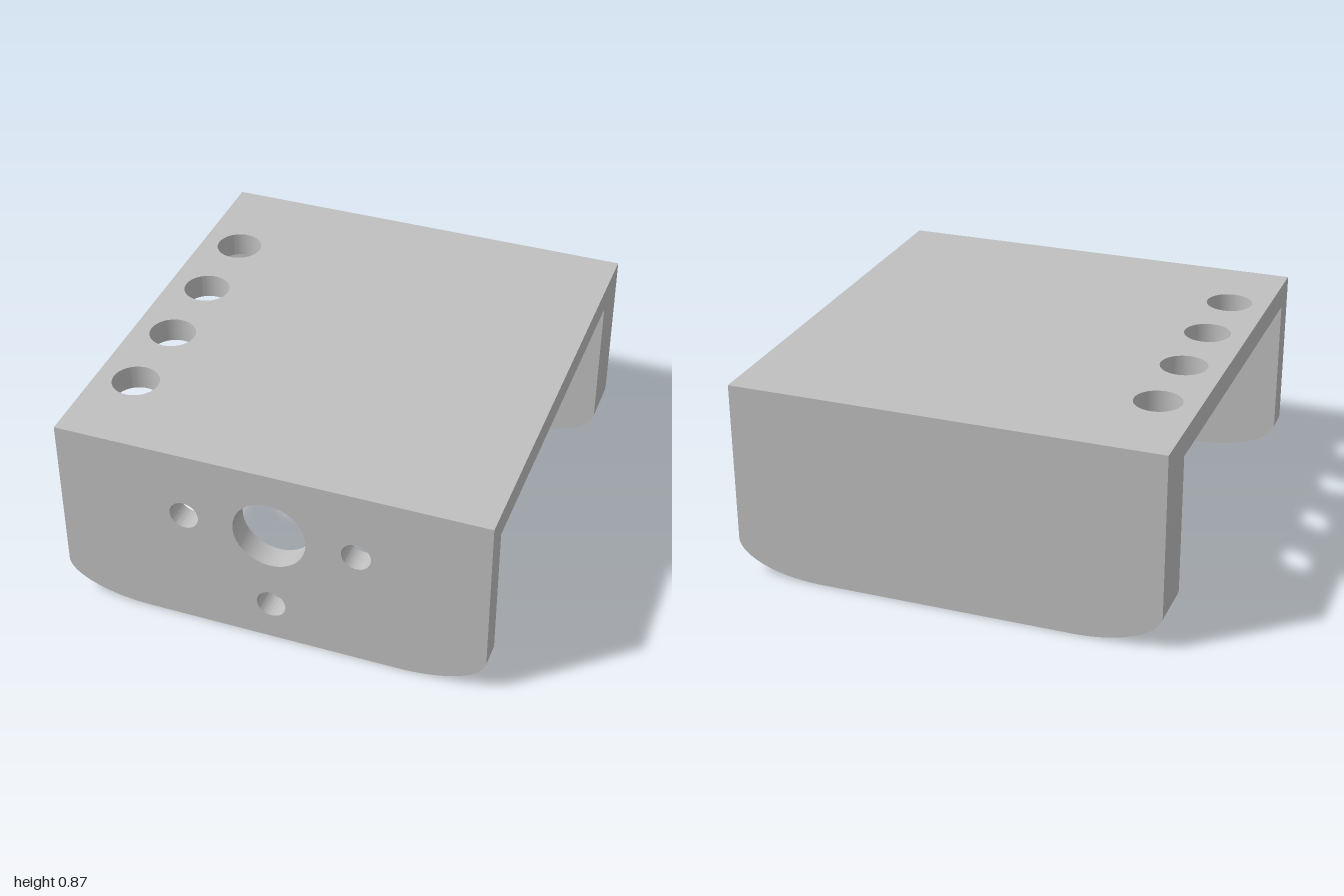
import * as THREE from 'three';
import { toCreasedNormals } from 'three/addons/utils/BufferGeometryUtils.js';

const HALF_W = 0.94, HALF_D = 1, SLAB_Y = 0.76, TOP_Y = 0.87;

// Extrudes a shape with round holes [x, y, radius] into a plate
function plate(shape, holes, depth) {
  for (const [x, y, r] of holes) {
    const path = new THREE.Path();
    path.absarc(x, y, r, 0, Math.PI * 2, true);
    shape.holes.push(path);
  }
  const geometry = new THREE.ExtrudeGeometry(shape, { depth, bevelEnabled: false, curveSegments: 32 });
  return toCreasedNormals(geometry, 0.6);
}

// Flange outline: square at the top, elliptical lower corners
function flangeShape() {
  const rx = 0.38, ry = 0.16, cx = HALF_W - rx;
  const s = new THREE.Shape();
  s.moveTo(-HALF_W, SLAB_Y);
  s.lineTo(-HALF_W, ry);
  s.absellipse(-cx, ry, rx, ry, Math.PI, Math.PI * 1.5, false);
  s.lineTo(cx, 0);
  s.absellipse(cx, ry, rx, ry, Math.PI * 1.5, Math.PI * 2, false);
  s.lineTo(HALF_W, SLAB_Y);
  s.closePath();
  return s;
}

export function createModel() {
  const group = new THREE.Group();
  group.name = 'mountingBracket';
  const grey = new THREE.MeshStandardMaterial({ color: 0xbfbfbf });
  grey.name = 'plain grey';

  const add = (name, geometry) => {
    const mesh = new THREE.Mesh(geometry, grey);
    mesh.name = name;
    group.add(mesh);
  };

  // Top plate with a row of four holes along its right edge
  const top = new THREE.Shape([
    new THREE.Vector2(-HALF_W, -HALF_D), new THREE.Vector2(HALF_W, -HALF_D),
    new THREE.Vector2(HALF_W, HALF_D), new THREE.Vector2(-HALF_W, HALF_D),
  ]);
  const row = [-0.54, -0.16, 0.215, 0.593].map((z) => [-0.762, -z, 0.102]);
  add('topPlate', plate(top, row, TOP_Y - SLAB_Y).rotateX(-Math.PI / 2).translate(0, SLAB_Y, 0));

  // Thin front flange: one shaft hole and three screw holes
  const frontHoles = [[0, 0.56, 0.16], [-0.377, 0.56, 0.064], [0.377, 0.56, 0.064], [0, 0.184, 0.064]];
  add('frontFlange', plate(flangeShape(), frontHoles, 0.11).translate(0, 0, HALF_D - 0.11));

  // Thicker solid back flange
  add('backFlange', plate(flangeShape(), [], 0.23).translate(0, 0, -HALF_D));

  return group;
}
